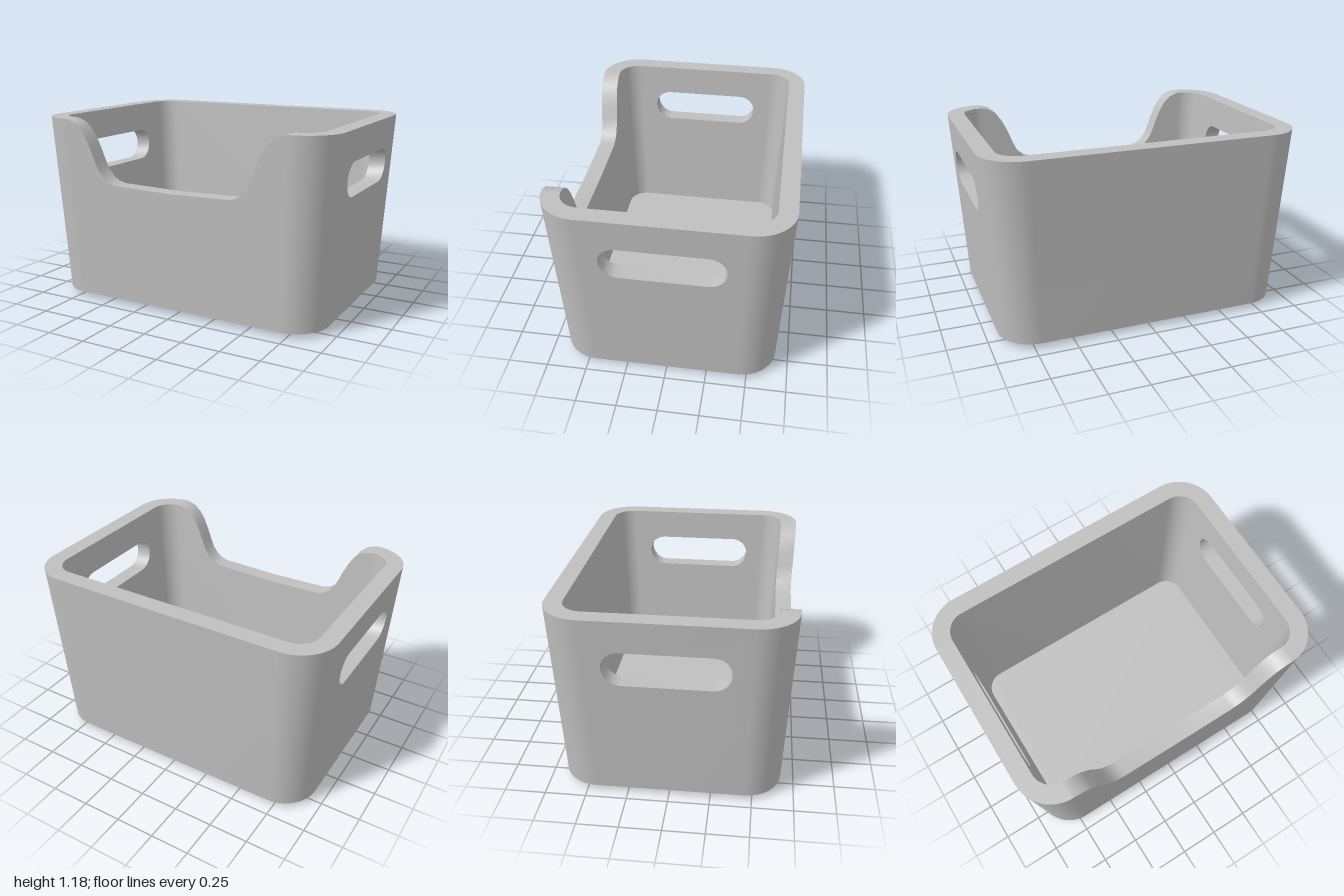
import * as THREE from 'three';
import { mergeGeometries, toCreasedNormals } from 'three/addons/utils/BufferGeometryUtils.js';

const TOP = 1.183, BASE = 0.03, FLOOR = 0.08;
const HX = 0.76, HZ = 0.48;           // half lengths of the straight wall runs
const R_OUT = 0.24, R_IN = 0.13;      // concentric corner radii
const WALL = R_OUT - R_IN;

// The tub narrows evenly toward its base
const taperAt = (y) => 0.93 + 0.07 * (y - BASE) / (TOP - BASE);
function taper(geo) {
  const p = geo.attributes.position;
  for (let i = 0; i < p.count; i++) {
    const s = taperAt(p.getY(i));
    p.setX(i, p.getX(i) * s);
    p.setZ(i, p.getZ(i) * s);
  }
  return geo;
}

// Keep only the triangles that are not lying wholly on a hidden seam
function dropSeams(geo, seams) {
  const src = geo.index ? geo.toNonIndexed() : geo;
  const p = src.attributes.position, out = [];
  for (let i = 0; i < p.count; i += 3) {
    const tri = [0, 1, 2].map((k) => new THREE.Vector3().fromBufferAttribute(p, i + k));
    if (seams.some(([axis, value]) => tri.every((v) => Math.abs(v[axis] - value) < 1e-5))) continue;
    tri.forEach((v) => out.push(v.x, v.y, v.z));
  }
  const g = new THREE.BufferGeometry();
  g.setAttribute('position', new THREE.Float32BufferAttribute(out, 3));
  return g;
}

// Straight wall: u along the wall, y up, optional rim profile and hole
function panel(half, distance, turn, rim = [], hole = null) {
  const shape = new THREE.Shape();
  shape.moveTo(-half, BASE);
  shape.lineTo(half, BASE);
  shape.lineTo(half, TOP);
  rim.forEach(([x, y]) => shape.lineTo(x, y));
  shape.lineTo(-half, TOP);
  shape.closePath();
  if (hole) shape.holes.push(hole);
  const geo = new THREE.ExtrudeGeometry(shape, { depth: WALL, bevelEnabled: false, curveSegments: 6 });
  return dropSeams(geo, [['x', half], ['x', -half], ['y', BASE]])
    .translate(0, 0, distance).rotateY(turn);
}

// Quarter-ring corner post
function corner(k) {
  const shape = new THREE.Shape();
  shape.absarc(0, 0, R_OUT, 0, Math.PI / 2, false);
  shape.absarc(0, 0, R_IN, Math.PI / 2, 0, true);
  const geo = new THREE.ExtrudeGeometry(shape, { depth: TOP - BASE, bevelEnabled: false, curveSegments: 8 });
  const sx = k === 0 || k === 3 ? 1 : -1, sy = k < 2 ? 1 : -1;
  return dropSeams(geo, [['x', 0], ['y', 0], ['z', 0]])
    .rotateZ(k * Math.PI / 2)
    .translate(sx * HX, sy * HZ, BASE)
    .rotateX(-Math.PI / 2);
}

// Rounded rectangle outline at a given corner radius, scaled
function outline(radius, scale) {
  const s = new THREE.Shape();
  [[HX, HZ], [-HX, HZ], [-HX, -HZ], [HX, -HZ]].forEach(([x, y], k) =>
    s.absarc(x * scale, y * scale, radius * scale, k * Math.PI / 2, (k + 1) * Math.PI / 2, false));
  return s;
}

// Underside: sloping edge band and flat bottom
function underside() {
  const outer = outline(R_OUT, taperAt(BASE)).getPoints(8);
  const inner = outline(R_OUT - 0.1, taperAt(BASE)).getPoints(8);
  const pos = [], index = [], n = outer.length;
  outer.forEach((p) => pos.push(p.x, BASE, -p.y));
  inner.forEach((p) => pos.push(p.x, 0, -p.y));
  pos.push(0, 0, 0);
  for (let i = 0; i < n; i++) {
    const j = (i + 1) % n;
    index.push(i, n + i, j, j, n + i, n + j);
    index.push(n + i, 2 * n, n + j);
  }
  const g = new THREE.BufferGeometry();
  g.setAttribute('position', new THREE.Float32BufferAttribute(pos, 3));
  g.setIndex(index);
  return toCreasedNormals(g.toNonIndexed(), 0.6);
}

export function createModel() {
  const model = new THREE.Group();
  model.name = 'storageBin';
  const grey = new THREE.MeshStandardMaterial({ color: 0xbfbfbf });
  grey.name = 'grey plastic';
  const add = (name, geo) => {
    const mesh = new THREE.Mesh(geo, grey);
    mesh.name = name;
    model.add(mesh);
  };

  // Scooped front rim, right half mirrored to the left
  const half = [[0.73, 1.178], [0.685, 1.16], [0.645, 1.125], [0.61, 1.07], [0.58, 1.0], [0.555, 0.93],
    [0.53, 0.87], [0.495, 0.825], [0.455, 0.798], [0.41, 0.785]];
  const scoop = [...half, [0, 0.776], ...half.map(([x, y]) => [-x, y]).reverse()];

  // Rounded handle slot
  const slot = () => {
    const h = new THREE.Path(), r = 0.107, e = 0.265, y = 0.883;
    h.absarc(e, y, r, -Math.PI / 2, Math.PI / 2, false);
    h.absarc(-e, y, r, Math.PI / 2, Math.PI * 1.5, false);
    h.closePath();
    return h;
  };

  // Walls with scooped front, plain back, slotted sides and round corners
  const walls = mergeGeometries([
    panel(HX, HZ + R_IN, 0, scoop),
    panel(HX, HZ + R_IN, Math.PI),
    panel(HZ, HX + R_IN, Math.PI / 2, [], slot()),
    panel(HZ, HX + R_IN, -Math.PI / 2, [], slot()),
    ...[0, 1, 2, 3].map(corner).map((g) => g),
  ]);
  add('walls', toCreasedNormals(taper(walls), 0.6));

  // Inner floor and underside
  const floor = new THREE.ShapeGeometry(outline(R_IN, taperAt(FLOOR)), 8);
  add('floor', floor.rotateX(-Math.PI / 2).translate(0, FLOOR, 0));
  add('underside', underside());
  return model;
}
